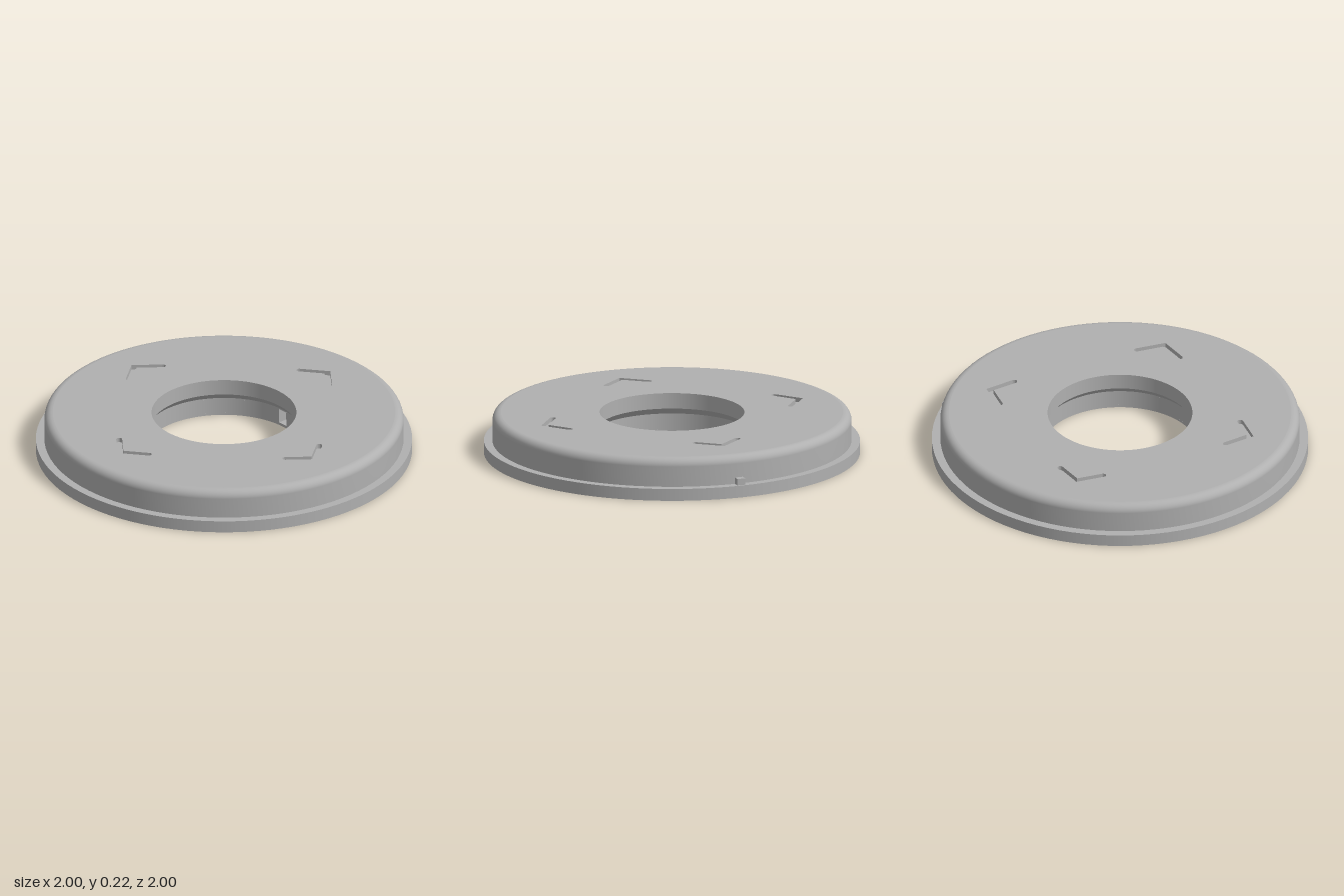
import * as THREE from 'three';

const SEG = 96;
const DIRS = [[1, 0], [0, 1], [-1, 0], [0, -1]];

export function createModel() {
  const root = new THREE.Group();
  const grey = new THREE.MeshStandardMaterial({ color: 0xb0b0b0, side: THREE.DoubleSide });
  grey.name = 'plain grey';

  const add = (name, geometry, parent = root) => {
    const mesh = new THREE.Mesh(geometry, grey);
    mesh.name = name;
    parent.add(mesh);
    return mesh;
  };
  const band = (name, pts, start = 0, length = Math.PI * 2) =>
    add(name, new THREE.LatheGeometry(pts.map(p => new THREE.Vector2(...p)), SEG, start, length));

  // Flat shape laid horizontally at height y, facing up or down
  const flat = (name, shape, y, faceUp, parent = root) => {
    const g = new THREE.ShapeGeometry(shape, SEG / 2);
    g.rotateX(faceUp ? -Math.PI / 2 : Math.PI / 2);
    g.translate(0, y, 0);
    return add(name, g, parent);
  };

  // Annular face with pockets sunk into it; outlines are [x, z] loops
  const pocketedFace = (name, outer, inner, y, depth, faceUp, outlines) => {
    const sign = faceUp ? -1 : 1;
    const toShape = pts => pts.map(([x, z]) => new THREE.Vector2(x, sign * z));
    const face = new THREE.Shape().absarc(0, 0, outer, 0, Math.PI * 2);
    face.holes.push(new THREE.Path().absarc(0, 0, inner, 0, Math.PI * 2, true));
    outlines.forEach(pts => face.holes.push(new THREE.Path(toShape(pts))));
    flat(name, face, y, faceUp);

    const floorY = y + sign * depth;
    outlines.forEach(pts => {
      const pocket = new THREE.Group();
      pocket.name = name + 'Pocket';
      root.add(pocket);
      flat('pocketFloor', new THREE.Shape(toShape(pts)), floorY, faceUp, pocket);
      const v = [];
      pts.forEach(([x0, z0], i) => {
        const [x1, z1] = pts[(i + 1) % pts.length];
        const hi = Math.max(y, floorY), lo = Math.min(y, floorY);
        v.push(x0, lo, z0, x1, lo, z1, x1, hi, z1, x0, lo, z0, x1, hi, z1, x0, hi, z0);
      });
      const walls = new THREE.BufferGeometry();
      walls.setAttribute('position', new THREE.Float32BufferAttribute(v, 3));
      walls.computeVertexNormals();
      add('pocketWalls', walls, pocket);
    });
  };

  // Outer flange, body wall and rounded shoulder
  band('flangeWall', [[1, 0], [1, 0.065]]);
  band('flangeLedge', [[1, 0.065], [0.955, 0.065]]);
  const shoulder = [[0.955, 0.065]];
  for (let i = 0; i <= 8; i++) {
    const a = (i / 8) * Math.PI / 2;
    shoulder.push([0.91 + 0.045 * Math.cos(a), 0.175 + 0.045 * Math.sin(a)]);
  }
  band('bodyWall', shoulder);

  // Stepped bore with a conical transition and a gap for the notch
  const half = 0.03 / 0.415;
  band('upperBore', [[0.385, 0.22], [0.385, 0.135]]);
  band('boreCone', [[0.385, 0.135], [0.415, 0.1]]);
  band('lowerBoreTop', [[0.415, 0.1], [0.415, 0.093]]);
  band('lowerBore', [[0.415, 0.093], [0.415, 0.015]], Math.PI + half, Math.PI * 2 - 2 * half);
  band('lowerBoreRim', [[0.415, 0.015], [0.415, 0]]);

  // Notch in the rear of the bore: a box with its front face left out
  const notch = new THREE.BoxGeometry(0.06, 0.078, 0.05);
  const index = Array.from(notch.index.array);
  index.splice(24, 6);
  notch.setIndex(index);
  notch.clearGroups();
  notch.translate(0, 0.054, -0.4389);
  add('boreNotch', notch);

  // Chevron grooves pointing outward: a rounded-end V outline
  const chevron = ([dx, dz]) => {
    const h = 0.016, apex = 0.729, endR = 0.634, endT = 0.12;
    const len = Math.hypot(endT, apex - endR);
    const nr = endT / len, nt = (apex - endR) / len;
    const side = [[apex + h / nr, 0]];
    const a0 = Math.atan2(nt, nr);
    for (let i = 0; i <= 8; i++) {
      const a = a0 + (i / 8) * Math.PI;
      side.push([endR + h * Math.cos(a), endT + h * Math.sin(a)]);
    }
    side.push([apex - h / nr, 0]);
    const mirrored = side.slice(1, -1).reverse().map(([r, t]) => [r, -t]);
    return [...side, ...mirrored].map(([r, t]) => [r * dx - t * dz, r * dz + t * dx]);
  };
  pocketedFace('topFace', 0.91, 0.385, 0.22, 0.025, true, DIRS.map(chevron));

  // Mounting slots underneath: a straight slot with a round opening mid-way
  const slot = ([dx, dz]) => {
    const w = 0.033, l = 0.18, r = 0.075, a0 = Math.asin(w / r);
    const end = [[w, l], [-w, l]];
    const pts = [...end];
    for (let i = 0; i <= 12; i++) {
      const a = Math.PI / 2 + a0 + (i / 12) * (Math.PI - 2 * a0);
      pts.push([r * Math.cos(a), r * Math.sin(a)]);
    }
    const other = pts.map(([x, z]) => [-x, -z]);
    return [...pts, ...other].map(([x, z]) => [x + 0.68 * dx, z + 0.68 * dz]);
  };
  pocketedFace('bottomFace', 1, 0.415, 0, 0.04, false, DIRS.map(slot));

  // Small locating tab on the rear of the flange
  const tab = add('locatingTab', new THREE.BoxGeometry(0.045, 0.035, 0.04));
  tab.position.set(0, 0.0825, -0.97);

  return root;
}
